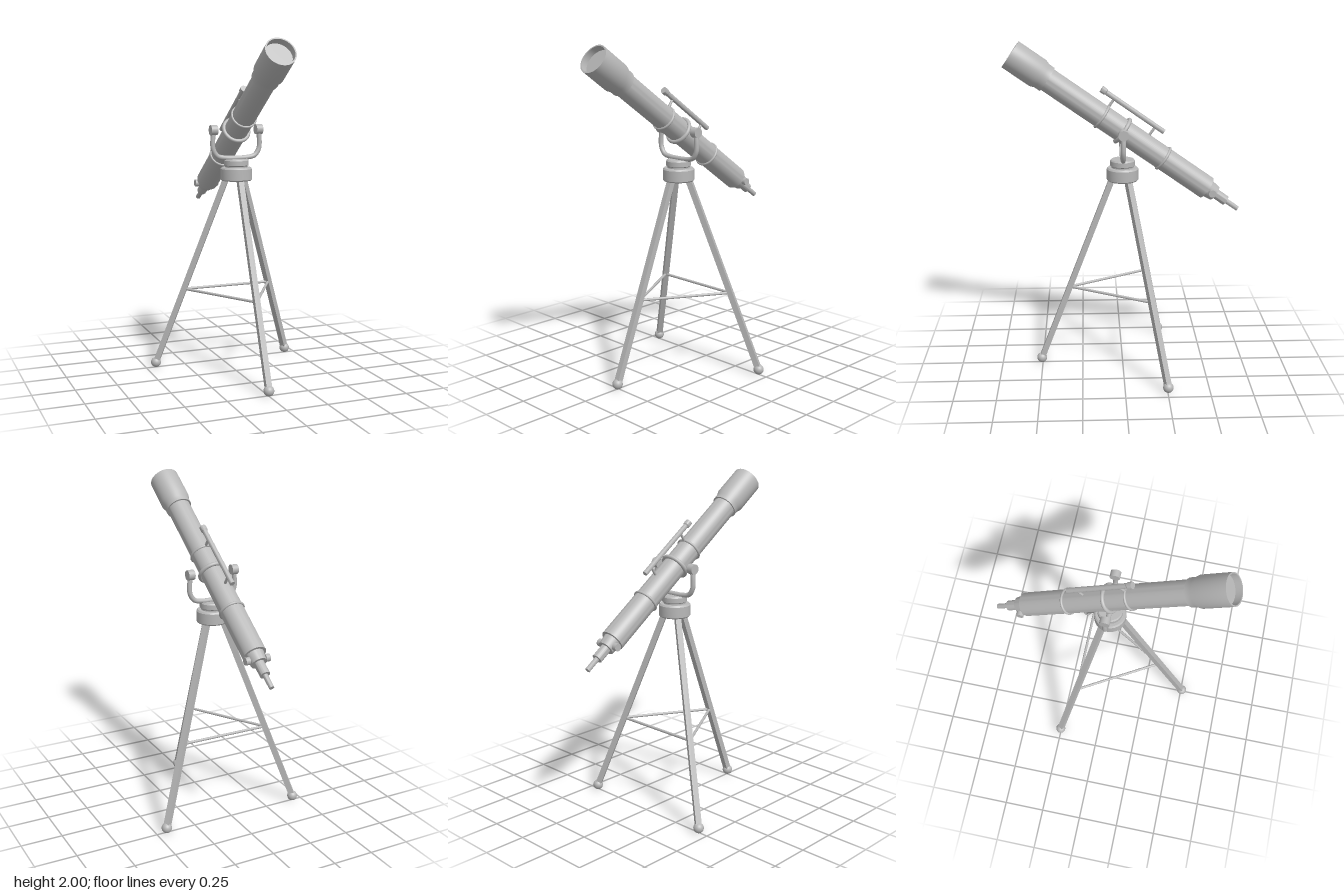
import * as THREE from 'three';
import { toCreasedNormals } from 'three/addons/utils/BufferGeometryUtils.js';

export function createModel() {
  const model = new THREE.Group();
  const grey = new THREE.MeshStandardMaterial({ color: 0xb8b8b8 });
  grey.name = 'grey metal';
  const V = (x, y, z) => new THREE.Vector3(x, y, z);

  const add = (parent, name, geometry) => {
    const mesh = new THREE.Mesh(geometry, grey);
    mesh.name = name;
    parent.add(mesh);
    return mesh;
  };
  // Turned solid from [radius, height] points listed bottom to top
  const lathe = (points, sides = 40) => toCreasedNormals(
    new THREE.LatheGeometry(points.map(p => new THREE.Vector2(...p)), sides), 0.6);
  // Straight bar between two points; the geometry has its length along y
  const between = (parent, name, a, b, makeGeometry) => {
    const dir = b.clone().sub(a);
    const bar = add(parent, name, makeGeometry(dir.length()));
    bar.position.copy(a).add(b).multiplyScalar(0.5);
    bar.quaternion.setFromUnitVectors(V(0, 1, 0), dir.normalize());
    return bar;
  };
  const rod = (r, sides = 16) => len => new THREE.CylinderGeometry(r, r, len, sides);

  // Tripod: three legs, round feet and spreader bars
  const legPoint = (i, radius, y) => {
    const a = i * Math.PI * 2 / 3;
    return V(Math.sin(a) * radius, y, Math.cos(a) * radius);
  };
  for (let i = 0; i < 3; i++) {
    const leg = new THREE.Group();
    leg.name = 'leg';
    leg.rotation.y = i * Math.PI * 2 / 3;
    between(leg, 'legBar', V(0, 0.035, 0.503), V(0, 1.2, 0.057),
      len => new THREE.BoxGeometry(0.034, len, 0.034));
    add(leg, 'foot', new THREE.SphereGeometry(0.031, 24, 16)).position.set(0, 0.031, 0.505);
    model.add(leg);
    between(model, 'spreader', legPoint(i, 0.322, 0.504), legPoint(i + 1, 0.322, 0.504), rod(0.008));
  }

  // Hub and turntable on top of the tripod
  add(model, 'hub', lathe([[0, 1.178], [0.088, 1.178], [0.094, 1.185], [0.094, 1.248],
    [0.086, 1.257], [0, 1.257]]));
  add(model, 'turntable', lathe([[0, 1.25], [0.066, 1.25], [0.066, 1.264], [0.074, 1.27],
    [0.074, 1.298], [0.067, 1.306], [0, 1.306]]));

  // U-shaped fork with a clamp knob at each end
  const forkHalf = [[0.143, 1.47], [0.149, 1.41], [0.145, 1.365], [0.118, 1.326], [0.065, 1.314]];
  const forkPath = new THREE.CatmullRomCurve3([
    ...forkHalf.map(([x, y]) => V(-x, y, 0)), V(0, 1.312, 0),
    ...forkHalf.slice().reverse().map(([x, y]) => V(x, y, 0))]);
  add(model, 'fork', new THREE.TubeGeometry(forkPath, 60, 0.0145, 16));
  for (const side of [-1, 1]) {
    const knob = add(model, 'forkKnob', rod(0.03, 28)(0.04));
    knob.rotation.z = Math.PI / 2;
    knob.position.set(side * 0.143, 1.48, 0);
  }

  // Optical assembly: built along +y, then tilted so its front points up and forward
  const scope = new THREE.Group();
  scope.name = 'telescope';
  scope.position.y = 1.478;
  scope.rotation.x = THREE.MathUtils.degToRad(55);
  model.add(scope);

  // Tube, collar, hollow dew shield and recessed lens
  add(scope, 'mainTube', lathe([[0, -0.615], [0.07, -0.615], [0.07, 0.54]], 48));
  add(scope, 'dewShield', lathe([[0.069, 0.53], [0.079, 0.53], [0.079, 0.565], [0.089, 0.595],
    [0.089, 0.784], [0.081, 0.784], [0.081, 0.742]], 48));
  add(scope, 'lens', lathe([[0.082, 0.743], [0, 0.743]].map(([r, y]) => [r, y]), 48));

  // Stepped focuser and eyepiece
  add(scope, 'focuser', lathe([[0, -0.675], [0.047, -0.675], [0.055, -0.61]]));
  add(scope, 'drawTube', lathe([[0, -0.757], [0.03, -0.757], [0.03, -0.67]]));
  add(scope, 'eyepiece', lathe([[0, -0.845], [0.015, -0.845], [0.015, -0.75]], 28));
  between(scope, 'focusShaft', V(-0.06, -0.648, 0), V(0.06, -0.648, 0), rod(0.009));
  for (const side of [-1, 1]) {
    between(scope, 'focusKnob', V(side * 0.05, -0.648, 0), V(side * 0.077, -0.648, 0), rod(0.022, 24));
  }

  // Bands around the tube
  for (const [s, r, thick] of [[0.147, 0.071, 0.008], [-0.294, 0.071, 0.008], [0, 0.076, 0.012]]) {
    const band = add(scope, 'tubeBand', new THREE.TorusGeometry(r, thick, 14, 48));
    band.rotation.x = Math.PI / 2;
    band.position.y = s;
  }

  // Finder scope on two posts; local -z is the upper side of the tube
  const finder = add(scope, 'finder', lathe([[0, -0.205], [0.015, -0.205], [0.015, 0.205],
    [0.02, 0.212], [0.02, 0.241], [0, 0.241]], 28));
  finder.position.z = -0.132;
  for (const s of [0.148, -0.145]) {
    between(scope, 'finderPost', V(0, s, -0.065), V(0, s, -0.13), rod(0.008));
  }

  return model;
}
